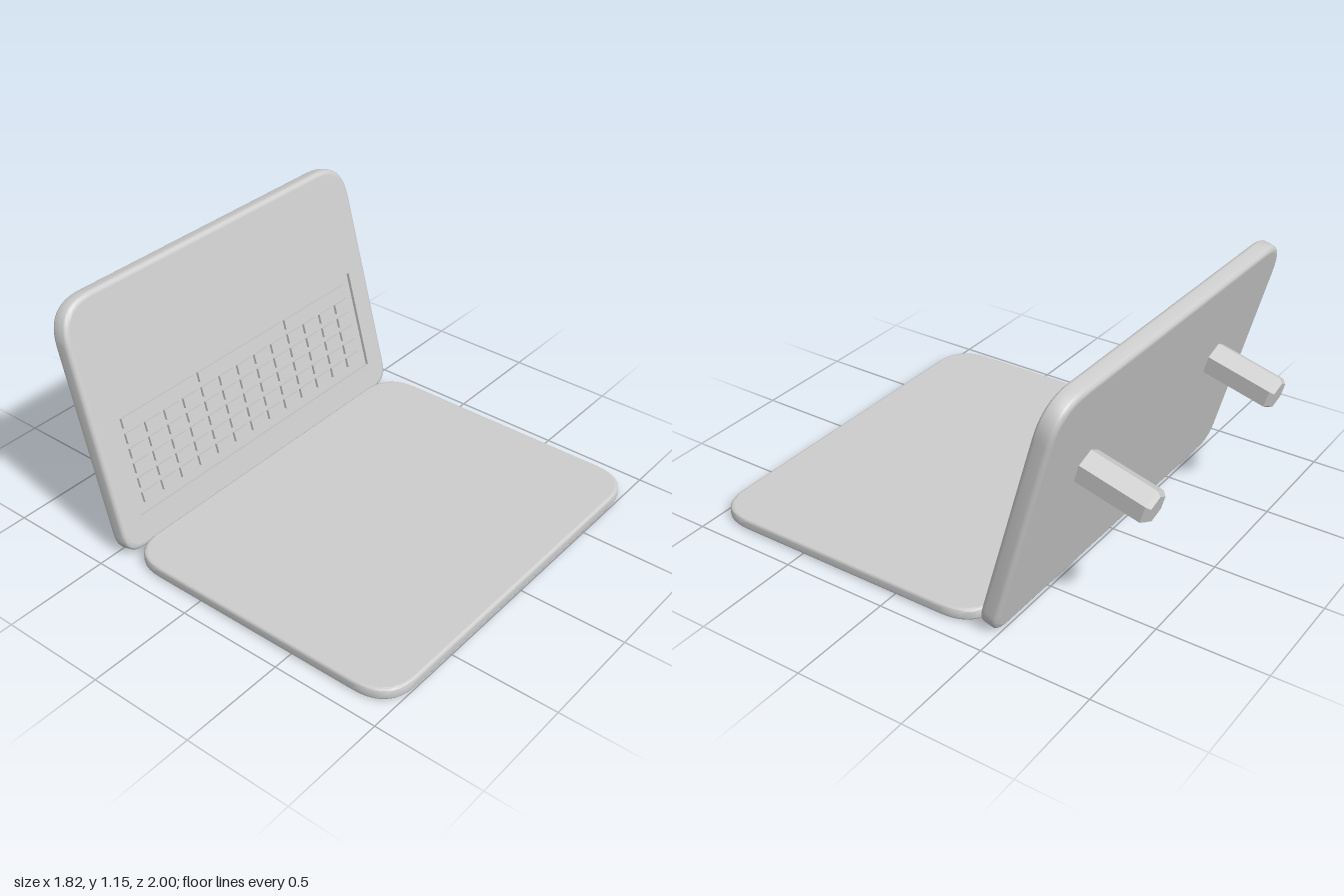
import * as THREE from 'three';
import { mergeGeometries, toCreasedNormals } from 'three/addons/utils/BufferGeometryUtils.js';

// Outline with soft corners, centred on x, rising from y = 0
function outline(w, h, rTop, rBottom, inset) {
  const x = w / 2 - inset, y0 = inset, y1 = h - inset;
  const a = rBottom - inset / 2, b = rTop - inset / 2;
  const s = new THREE.Shape();
  s.moveTo(x, y0 + a);
  s.lineTo(x, y1 - b);
  s.quadraticCurveTo(x, y1, x - b, y1);
  s.lineTo(-x + b, y1);
  s.quadraticCurveTo(-x, y1, -x, y1 - b);
  s.lineTo(-x, y0 + a);
  s.quadraticCurveTo(-x, y0, -x + a, y0);
  s.lineTo(x - a, y0);
  s.quadraticCurveTo(x, y0, x, y0 + a);
  return s;
}

// Slab with rounded rims: back at z = 0, front at z = depth, optional opening in the front
function slab(w, h, depth, rTop, rBottom, rim, opening) {
  const steps = 5, rings = [];
  for (let side = 0; side < 2; side++) {
    for (let i = 0; i <= steps; i++) {
      const t = ((side ? i : steps - i) / steps) * Math.PI / 2;
      const inset = rim * (1 - Math.cos(t));
      const z = side ? depth - rim + rim * Math.sin(t) : rim - rim * Math.sin(t);
      const pts = outline(w, h, rTop, rBottom, inset).getPoints(10).slice(0, -1);
      rings.push(pts.map(p => [p.x, p.y, z]));
    }
  }
  const pos = [];
  for (let i = 0; i < rings.length - 1; i++) {
    const n = rings[i].length;
    for (let j = 0; j < n; j++) {
      const k = (j + 1) % n;
      const a = rings[i][j], b = rings[i][k], c = rings[i + 1][k], d = rings[i + 1][j];
      pos.push(...a, ...b, ...c, ...a, ...c, ...d);
    }
  }
  let edge = new THREE.BufferGeometry();
  edge.setAttribute('position', new THREE.Float32BufferAttribute(pos, 3));
  edge = toCreasedNormals(edge, 0.6);

  const cap = hole => {
    const s = outline(w, h, rTop, rBottom, rim);
    if (hole) s.holes.push(hole);
    const g = new THREE.ShapeGeometry(s, 10).toNonIndexed();
    g.deleteAttribute('uv');
    return g;
  };
  const front = cap(opening).translate(0, 0, depth);
  const back = cap().rotateY(Math.PI);
  return mergeGeometries([edge, front, back]);
}

export function createModel() {
  const grey = new THREE.MeshStandardMaterial({ color: 0xcccccc });
  grey.name = 'grey';
  const model = new THREE.Group();
  model.name = 'foldingCase';
  const add = (parent, name, geometry, x = 0, y = 0, z = 0) => {
    const m = new THREE.Mesh(geometry, grey);
    m.name = name;
    m.position.set(x, y, z);
    parent.add(m);
    return m;
  };

  // Flat base
  const base = add(model, 'base', slab(1.82, 1.415, 0.055, 0.18, 0.18, 0.014), 0, 0, 1);
  base.rotation.x = -Math.PI / 2;

  // Leaning panel, local z = 0 is its front face
  const thick = 0.085, depth = 0.015;
  const panel = new THREE.Group();
  panel.name = 'leaningPanel';
  panel.position.set(0, 0.022, -0.41);
  panel.rotation.x = -THREE.MathUtils.degToRad(15);
  model.add(panel);

  const x0 = -0.795, x1 = 0.79, y0 = 0.143, y1 = 0.635;
  const hole = new THREE.Path();
  hole.moveTo(x0, y0);
  hole.lineTo(x0, y1);
  hole.lineTo(x1, y1);
  hole.lineTo(x1, y0);
  hole.closePath();
  add(panel, 'panelBody', slab(1.82, 1.17, thick, 0.18, 0.1, 0.022, hole), 0, 0, -thick);

  // Sunken key tray: floor and four walls
  const w = x1 - x0, h = y1 - y0, cx = (x0 + x1) / 2, cy = (y0 + y1) / 2;
  add(panel, 'trayFloor', new THREE.PlaneGeometry(w, h), cx, cy, -depth);
  for (const s of [-1, 1]) {
    const flat = new THREE.PlaneGeometry(w, depth).rotateX(s * Math.PI / 2);
    add(panel, 'trayWall', flat, cx, s > 0 ? y1 : y0, -depth / 2);
    const side = new THREE.PlaneGeometry(depth, h).rotateY(-s * Math.PI / 2);
    add(panel, 'trayWall', side, s > 0 ? x1 : x0, cy, -depth / 2);
  }

  // Keys: one row of three bars above five rows of thirteen
  const keyH = 0.046, keyD = 0.013;
  const key = (name, left, right, bottom) => add(panel, name,
    new THREE.BoxGeometry(right - left, keyH, keyD),
    (left + right) / 2, bottom + keyH / 2, -depth + keyD / 2);
  for (const [l, r] of [[-0.75, -0.305], [-0.283, 0.279], [0.301, 0.746]]) key('wideKey', l, r, 0.547);
  for (let row = 0; row < 5; row++) {
    for (let col = 0; col < 13; col++) {
      const l = -0.75 + col * 0.1169;
      key('key', l, l + 0.093, 0.474 - row * 0.0715);
    }
  }

  // Six-sided pegs with chamfered tips on the back
  const R = 0.081, len = 0.325, tip = 0.02;
  const profile = [[R, -0.02], [R, len - tip], [R * 0.78, len], [0, len]].map(p => new THREE.Vector2(...p));
  const pegShape = toCreasedNormals(new THREE.LatheGeometry(profile, 6), 0.3).rotateX(-Math.PI / 2);
  for (const s of [-1, 1]) add(panel, 'peg', pegShape, s * 0.525, 0.69, -thick);

  return model;
}
